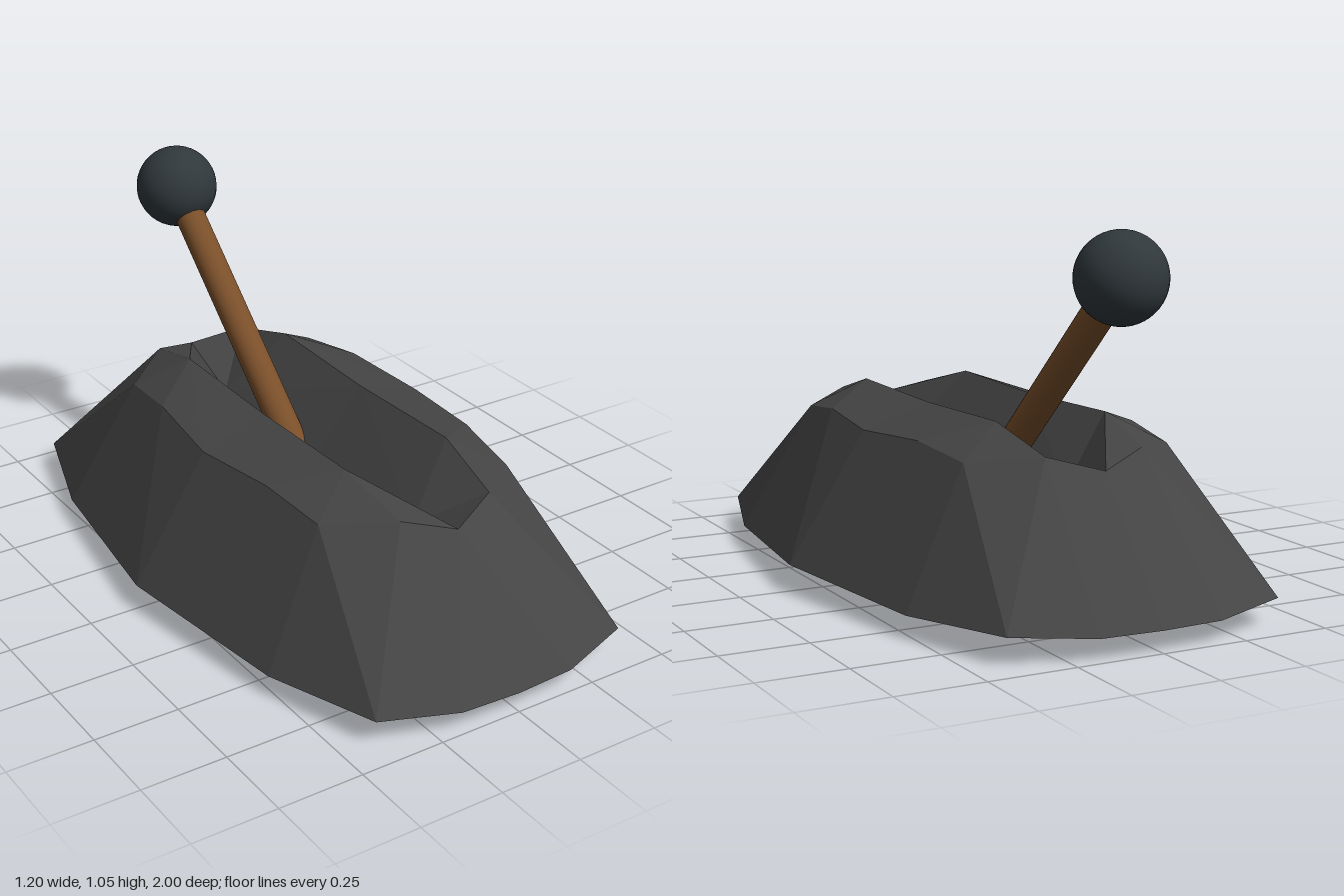
import * as THREE from 'three';

// Cross-section rings of one quarter of the base, from the side (x axis) round to the end (z axis)
const bottomCentre = Array(5).fill([0, 0, 0]);
const bottom = [[0.3, 0, 0], [0.27, 0, 0.37], [0.21, 0, 0.58], [0.1, 0, 0.63], [0, 0, 0.635]];
const skirt = [[0.6, 0.075, 0], [0.515, 0.06, 0.575], [0.405, 0.075, 0.92], [0.18, 0.06, 0.99], [0, 0.06, 1]];
const shoulder = [[0.37, 0.44, 0], [0.34, 0.455, 0.29], [0.315, 0.43, 0.51], [0.147, 0.455, 0.65], [0, 0.415, 0.71]];
const crest = [0.17, 0.515, 0.42], lip = shoulder[3], tip = shoulder[4], grooveEnd = [0, 0.33, 0.5];
const rim = [[0.168, 0.505, 0], crest, crest, lip, tip];
// The fold at the groove's ends differs between the two sides
const grooveRight = [[0, 0.31, 0], grooveEnd, grooveEnd, tip, tip];
const grooveLeft = [[0, 0.31, 0], grooveEnd, grooveEnd, grooveEnd, tip];

function baseGeometry() {
  const pos = [];
  const tri = (p, q, r, sx, sz) => {
    if (p === q || q === r || p === r) return;
    const order = sx * sz > 0 ? [p, r, q] : [p, q, r];
    for (const [x, y, z] of order) pos.push(x * sx, y, z * sz);
  };
  for (const sx of [1, -1]) for (const sz of [1, -1]) {
    const rings = [bottomCentre, bottom, skirt, shoulder, rim, sx > 0 ? grooveLeft : grooveRight];
    for (let k = 0; k < rings.length - 1; k++) for (let i = 0; i < 4; i++) {
      const a = rings[k][i], b = rings[k][i + 1], c = rings[k + 1][i + 1], d = rings[k + 1][i];
      tri(a, b, c, sx, sz);
      tri(a, c, d, sx, sz);
    }
  }
  const geo = new THREE.BufferGeometry();
  geo.setAttribute('position', new THREE.Float32BufferAttribute(pos, 3));
  geo.computeVertexNormals();
  return geo;
}

function part(name, geometry, options) {
  const mesh = new THREE.Mesh(geometry, new THREE.MeshStandardMaterial(options));
  mesh.name = name;
  return mesh;
}

export function createModel() {
  const model = new THREE.Group();
  model.name = 'lever';

  // Faceted stone base with a V groove
  model.add(part('base', baseGeometry(), { color: 0x444444, flatShading: true }));

  // Tilted wooden rod from inside the base up to the knob
  const foot = new THREE.Vector3(0, 0.21, 0), top = new THREE.Vector3(0, 0.925, -0.775);
  const axis = top.clone().sub(foot);
  const rod = part('rod', new THREE.CylinderGeometry(0.046, 0.046, axis.length(), 32), { color: 0x7a4f2a });
  rod.position.copy(foot).add(top).multiplyScalar(0.5);
  rod.quaternion.setFromUnitVectors(new THREE.Vector3(0, 1, 0), axis.normalize());
  model.add(rod);

  // Ball knob
  const knob = part('knob', new THREE.SphereGeometry(0.124, 32, 24), { color: 0x30383c });
  knob.position.copy(top);
  model.add(knob);

  return model;
}
